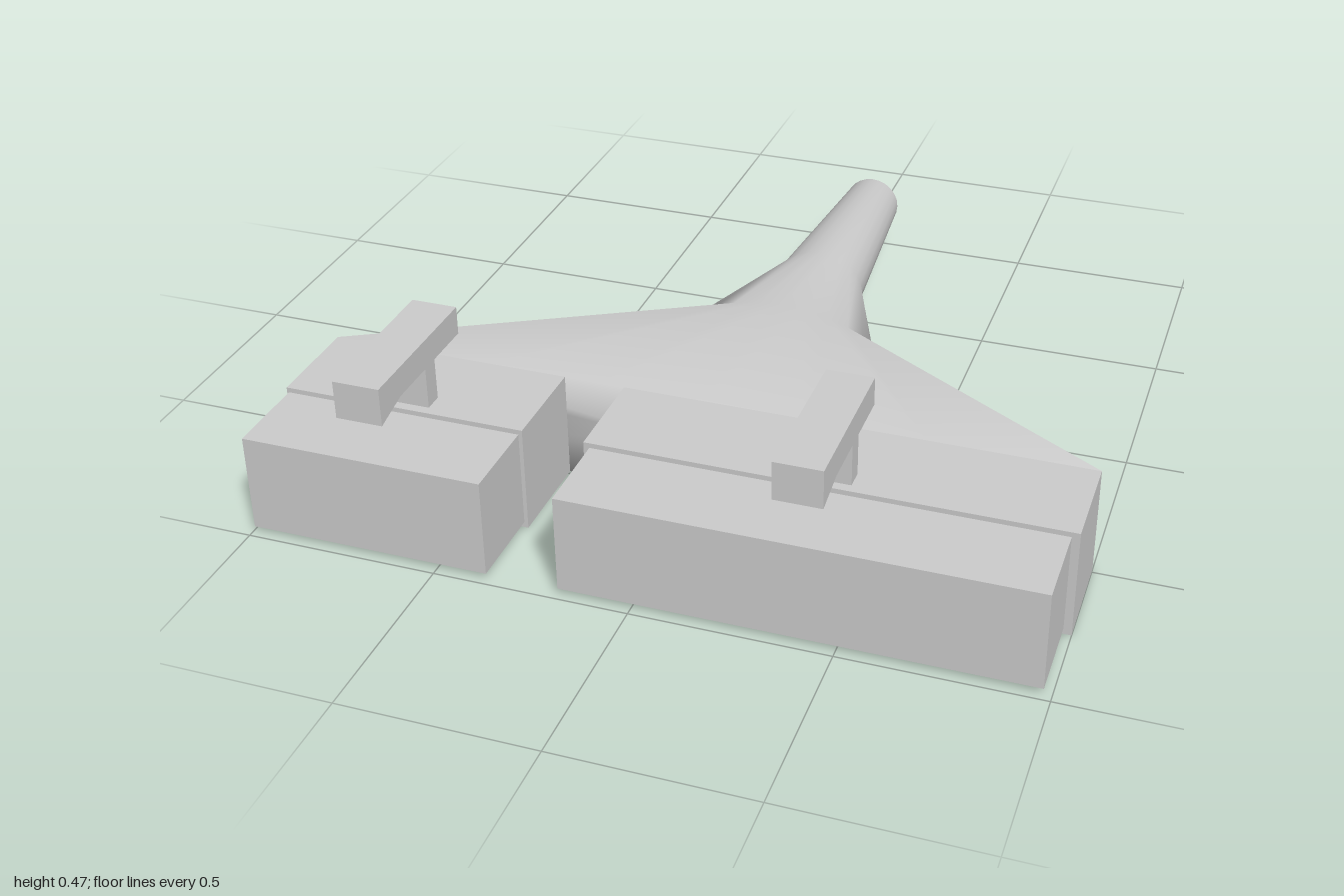
import * as THREE from 'three';

const material = new THREE.MeshStandardMaterial({ color: 0xcccccc });

function addMesh(parent, name, geometry) {
  const mesh = new THREE.Mesh(geometry, material);
  mesh.name = name;
  parent.add(mesh);
  return mesh;
}

// Box given by its limits on each axis
function addBox(parent, name, [x0, x1], [y0, y1], [z0, z1]) {
  const mesh = addMesh(parent, name, new THREE.BoxGeometry(x1 - x0, y1 - y0, z1 - z0));
  mesh.position.set((x0 + x1) / 2, (y0 + y1) / 2, (z0 + z1) / 2);
}

// Duct lofted from a wide rectangular mouth to a narrow round spout
function ductGeometry() {
  const sides = 24;
  // half width, centre x, bottom, top, z, rectangular or not
  const sections = [
    { w: 1, cx: 0, y0: 0, y1: 0.285, z: 0.49, square: true },
    { w: 0.265, cx: 0.035, y0: 0.022, y1: 0.27, z: -0.06 },
    { w: 0.125, cx: 0.037, y0: 0.04, y1: 0.25, z: -0.42 },
    { w: 0.08, cx: 0.037, y0: 0.065, y1: 0.225, z: -0.98 },
  ];
  const pos = [];
  const index = [];
  for (const s of sections) {
    for (let i = 0; i < sides; i++) {
      const a = (i / sides) * Math.PI * 2;
      const c = Math.cos(a), n = Math.sin(a);
      const k = s.square ? 1 / Math.max(Math.abs(c), Math.abs(n)) : 1;
      pos.push(s.cx + s.w * c * k, (s.y0 + s.y1) / 2 + ((s.y1 - s.y0) / 2) * n * k, s.z);
    }
  }
  // End cap centres
  const last = sections.length - 1;
  const front = pos.length / 3;
  pos.push(0, 0.1425, 0.49, 0.037, 0.145, -0.98);
  for (let i = 0; i < sides; i++) {
    const j = (i + 1) % sides;
    for (let r = 0; r < last; r++) {
      const a = r * sides + i, b = r * sides + j;
      index.push(a, a + sides, b, b, a + sides, b + sides);
    }
    index.push(front, i, j);
    index.push(front + 1, last * sides + j, last * sides + i);
  }
  const geo = new THREE.BufferGeometry();
  geo.setAttribute('position', new THREE.Float32BufferAttribute(pos, 3));
  geo.setIndex(index);
  geo.computeVertexNormals();
  return geo;
}

// Overhanging lever: side profile in z and y, extruded across x
function leverGeometry(width) {
  const profile = [
    [0.545, 0.395], [0.86, 0.395], [0.96, 0.37], [0.96, 0.47], [0.545, 0.47],
  ].map(([z, y]) => new THREE.Vector2(z, y));
  return new THREE.ExtrudeGeometry(new THREE.Shape(profile), { depth: width, bevelEnabled: false })
    .translate(0, 0, -width / 2)
    .rotateY(-Math.PI / 2);
}

export function createModel() {
  const group = new THREE.Group();
  group.name = 'splitDuct';

  addMesh(group, 'taperedDuct', ductGeometry());

  // Two outlets, each a block with a smaller plug in front and a lever on top
  const outlets = [
    { name: 'right', outer: [-1, -0.36], plug: [-0.995, -0.37], lever: -0.68 },
    { name: 'left', outer: [-0.2, 1], plug: [-0.185, 0.98], lever: 0.4 },
  ];
  for (const o of outlets) {
    const outlet = new THREE.Group();
    outlet.name = o.name + 'Outlet';
    addBox(outlet, 'outletBlock', o.outer, [0, 0.285], [0.49, 0.755]);
    addBox(outlet, 'outletPlug', o.plug, [0.015, 0.272], [0.75, 0.98]);
    addBox(outlet, 'leverPost', [o.lever - 0.06, o.lever + 0.06], [0.28, 0.4], [0.68, 0.73]);
    addMesh(outlet, 'lever', leverGeometry(0.12)).position.x = o.lever;
    group.add(outlet);
  }
  return group;
}
